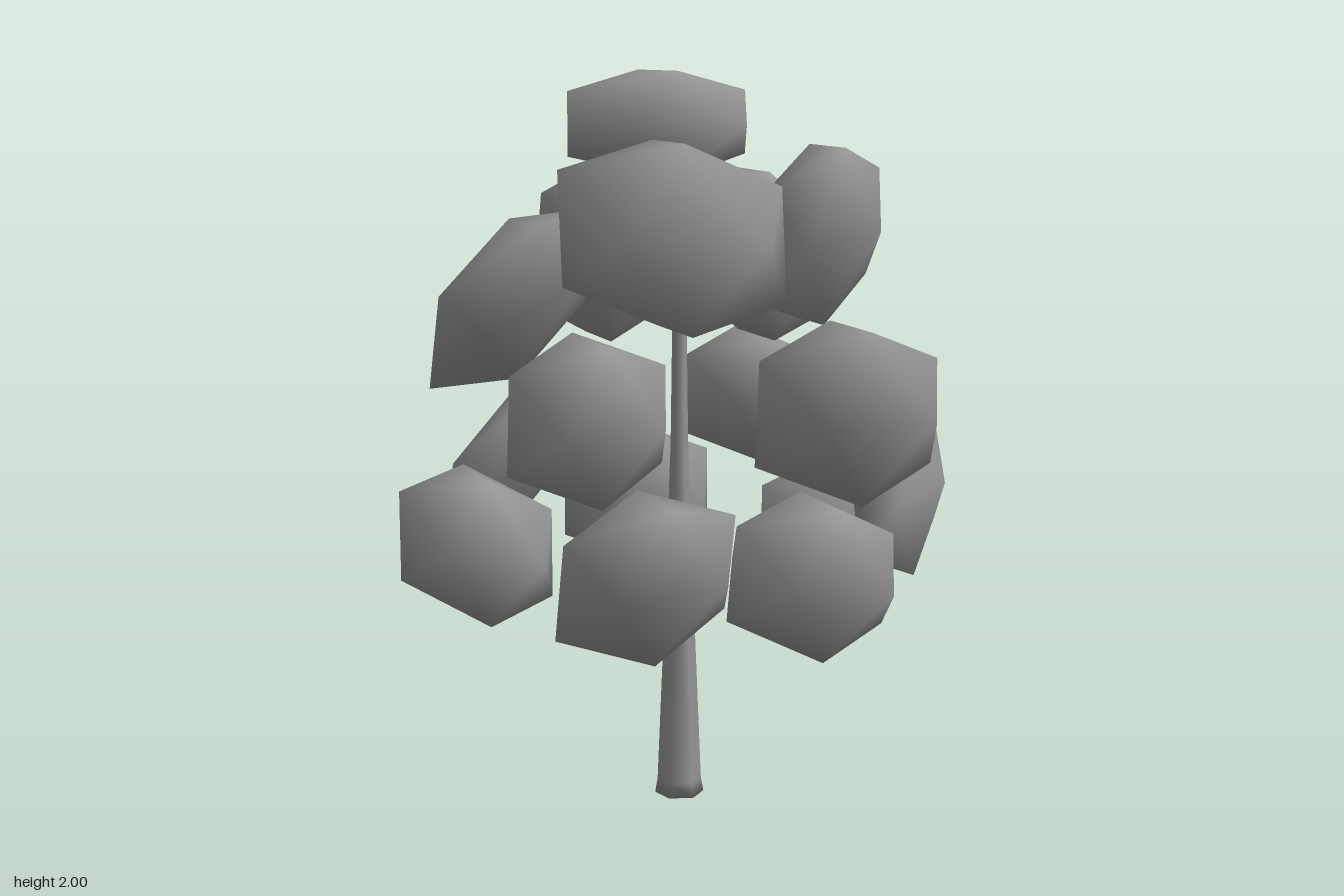
import * as THREE from 'three';
import { mergeVertices } from 'three/addons/utils/BufferGeometryUtils.js';

const grey = new THREE.MeshStandardMaterial({ color: 0x969696 });
grey.name = 'plainGrey';

// Icosahedron with an edge on top, shared corners and unit half-width
function clumpBase() {
  const geo = new THREE.IcosahedronGeometry(1 / 0.86, 0);
  geo.rotateY(Math.PI / 2);
  geo.deleteAttribute('normal');
  geo.deleteAttribute('uv');
  return mergeVertices(geo, 1e-4);
}

// Stretches the base to half-sizes (x, y, z) and slants it; each slant, from
// -1 to 1, says how far the clump leans along a diagonal of the xy, yz or xz plane
function shapeClump(base, [ex, ey, ez], [xy, yz, xz]) {
  const b = Math.sqrt(1 - xy * xy);
  const c = (yz - xy * xz) / b;
  const d = Math.sqrt(1 - xz * xz - c * c);
  const geo = base.clone().applyMatrix4(new THREE.Matrix4().set(
    ex, 0, 0, 0,
    ey * xy, ey * b, 0, 0,
    ez * xz, ez * c, ez * d, 0,
    0, 0, 0, 1));
  geo.computeVertexNormals();
  return geo;
}

// Each clump: centre, half-sizes, slants
const CLUMPS = [
  // crown
  [[-0.03, 1.86, -0.05], [0.255, 0.14, 0.25], [0, 0, 0]],
  // upper ring
  [[-0.13, 1.59, 0.33], [0.27, 0.24, 0.215], [-0.09, -0.17, 0.43]],
  [[0.335, 1.57, 0.18], [0.19, 0.24, 0.2], [0.11, 0.27, -0.26]],
  [[0.33, 1.485, -0.24], [0.2, 0.24, 0.22], [-0.19, -0.1, 0]],
  [[-0.06, 1.49, -0.39], [0.215, 0.26, 0.195], [-0.05, 0.39, -0.1]],
  [[-0.4, 1.39, -0.175], [0.22, 0.245, 0.23], [0.47, 0.41, 0.08]],
  // middle ring
  [[-0.365, 1.14, 0.35], [0.215, 0.21, 0.23], [0, 0.1, -0.1]],
  [[0.315, 1.13, 0.42], [0.23, 0.23, 0.215], [0, 0.1, 0.24]],
  [[0.37, 1.06, -0.355], [0.205, 0.19, 0.22], [-0.05, 0.12, 0.05]],
  [[-0.34, 0.88, -0.45], [0.2, 0.245, 0.185], [0.41, 0.53, -0.26]],
  [[0.595, 0.87, 0.17], [0.17, 0.235, 0.185], [0.1, -0.14, -0.6]],
  // lower ring
  [[0.525, 0.71, -0.1], [0.225, 0.17, 0.205], [-0.15, 0, 0]],
  [[0.09, 0.745, -0.565], [0.22, 0.2, 0.205], [0, 0, 0.13]],
  [[-0.56, 0.76, 0], [0.21, 0.2, 0.21], [-0.2, 0, 0]],
  [[-0.25, 0.75, 0.46], [0.23, 0.215, 0.215], [0.1, 0.28, 0]],
  [[0.17, 0.735, 0.54], [0.255, 0.215, 0.225], [-0.22, 0.3, -0.35]],
];

export function createModel() {
  const tree = new THREE.Group();
  tree.name = 'tree';

  // Six-sided trunk tapering from a flared foot
  const profile = [[0, 0], [0.068, 0], [0.061, 0.04], [0.038, 0.6], [0.024, 1], [0.014, 1.75], [0, 1.75]];
  const trunk = new THREE.Mesh(
    new THREE.LatheGeometry(profile.map(([r, y]) => new THREE.Vector2(r, y)), 6), grey);
  trunk.name = 'trunk';
  trunk.position.x = 0.014;
  trunk.rotation.y = Math.PI / 12;
  tree.add(trunk);

  // Leaf clumps around the trunk
  const foliage = new THREE.Group();
  foliage.name = 'foliage';
  const base = clumpBase();
  CLUMPS.forEach(([centre, halfSizes, slants], i) => {
    const clump = new THREE.Mesh(shapeClump(base, halfSizes, slants), grey);
    clump.name = `leafClump${i + 1}`;
    clump.position.set(...centre);
    foliage.add(clump);
  });
  tree.add(foliage);
  return tree;
}
